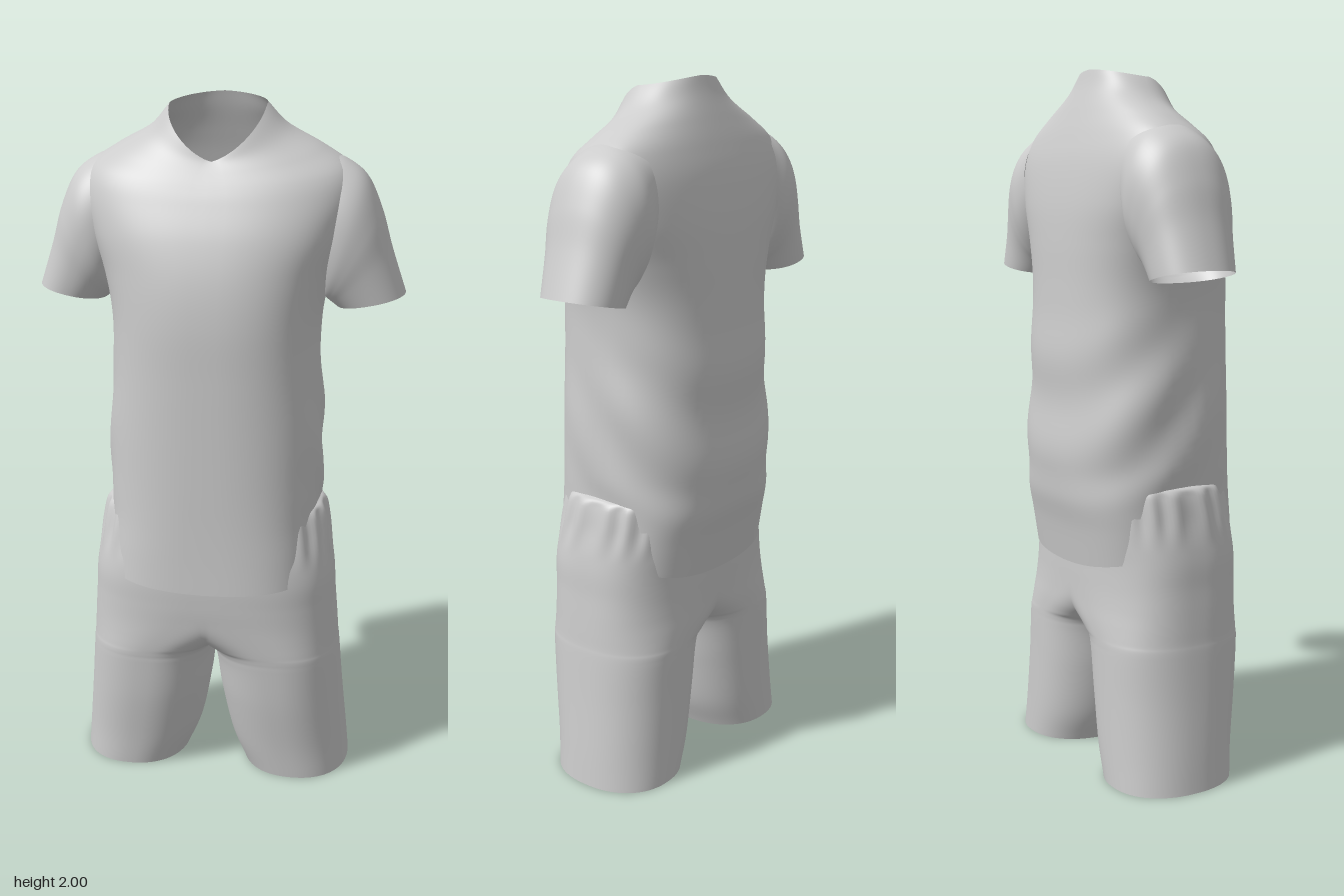
import * as THREE from 'three';
import { mergeGeometries, mergeVertices } from 'three/addons/utils/BufferGeometryUtils.js';

const SEG = 80;   // points around each cross-section
const SUB = 8;    // smooth steps between two cross-sections

// Signed power, gives rounded-box (superellipse) cross-sections
const sp = (v, e) => Math.sign(v) * Math.pow(Math.abs(v), e);
const smooth = THREE.MathUtils.smoothstep;

// Smooth skin: the row values are eased from row to row, shape(row, t) gives the point at t = 0..1
function loft(rows, shape, adjust) {
  const steps = (rows.length - 1) * SUB;
  const ease = new THREE.CubicInterpolant(rows.map((r, i) => i), rows.flat(), rows[0].length);
  const pos = [], index = [];
  for (let i = 0; i <= steps; i++) {
    const row = Array.from(ease.evaluate(i / SUB));
    for (let j = 0; j <= SEG; j++) {
      const p = shape(row, j / SEG);
      if (adjust) adjust(p, j / SEG);
      pos.push(p.x, p.y, p.z);
    }
  }
  const n = SEG + 1;
  for (let i = 0; i < steps; i++) {
    for (let j = 0; j < SEG; j++) {
      const a = i * n + j, b = a + n;
      index.push(a, b, a + 1, b, b + 1, a + 1);
    }
  }
  const g = new THREE.BufferGeometry();
  g.setAttribute('position', new THREE.Float32BufferAttribute(pos, 3));
  g.setIndex(index);
  return g;
}

function mirrored(g) {
  const m = g.clone().scale(-1, 1, 1);
  m.setIndex(Array.from(g.index.array).reverse());
  return m;
}

function finish(g) {
  const out = mergeVertices(g, 1e-4);
  out.computeVertexNormals();
  return out;
}

// Shirt body rows, hem to neck: halfWidth, zFront, zBack, zSide, yFront, ySide, yBack, squareness
const BODY = [
  [0.302, 0.26, -0.213, 0.02, 0.625, 0.66, 0.61, 3.1],
  [0.302, 0.258, -0.231, 0.01, 0.72, 0.73, 0.72, 3.0],
  [0.303, 0.257, -0.252, 0, 0.82, 0.82, 0.82, 2.8],
  [0.308, 0.257, -0.254, 0, 0.92, 0.92, 0.92, 2.6],
  [0.308, 0.257, -0.252, 0, 1.08, 1.08, 1.08, 2.5],
  [0.296, 0.257, -0.246, 0, 1.25, 1.25, 1.25, 2.5],
  [0.297, 0.256, -0.238, -0.01, 1.4, 1.4, 1.4, 2.5],
  [0.322, 0.243, -0.234, -0.03, 1.52, 1.52, 1.52, 2.5],
  [0.36, 0.215, -0.226, -0.045, 1.63, 1.63, 1.63, 2.6],
  [0.384, 0.178, -0.208, -0.055, 1.72, 1.73, 1.74, 2.6],
  [0.365, 0.155, -0.185, -0.055, 1.765, 1.808, 1.82, 2.5],
  [0.29, 0.133, -0.16, -0.045, 1.8, 1.862, 1.89, 2.4],
  [0.195, 0.118, -0.135, -0.02, 1.82, 1.912, 1.955, 2.4],
  [0.135, 0.11, -0.12, -0.005, 1.83, 1.975, 2.0, 2.5],
];
function bodyShape([w, zf, zb, zc, yf, ys, yb, n], t) {
  const a = (t % 1) * Math.PI * 2, c = Math.cos(a), s = Math.sin(a), e = 2 / n;
  const front = s > 0;
  const k = (Math.abs(s) + 1 - Math.abs(c)) / 2;
  return new THREE.Vector3(
    w * sp(c, e),
    ys + ((front ? yf : yb) - ys) * k,
    zc + (front ? zf - zc : zc - zb) * sp(s, e));
}

// Draped folds, strongest at the back and fading out towards the chest
function folds(p) {
  const r = Math.hypot(p.x, p.z);
  const zone = smooth(p.y, 0.78, 0.92) * (1 - smooth(p.y, 1.1, 1.4));
  const fade = 1 - smooth(p.z, -0.05, 0.2);
  const k = 1 + 0.006 * zone * fade * Math.sin((p.y - 1.1 * p.z) * 22) / r;
  p.x *= k;
  p.z *= k;
}

// Sleeve rows, shoulder to cuff: xTop, yTop, xBottom, yBottom, halfDepth, zCentre
const SLEEVE = [
  [0.29, 1.85, 0.265, 1.53, 0.13, -0.055],
  [0.355, 1.826, 0.287, 1.48, 0.145, -0.053],
  [0.412, 1.78, 0.3, 1.45, 0.145, -0.048],
  [0.454, 1.69, 0.312, 1.438, 0.136, -0.047],
  [0.485, 1.585, 0.322, 1.43, 0.125, -0.05],
  [0.527, 1.46, 0.335, 1.42, 0.115, -0.055],
];
function sleeveShape([xt, yt, xb, yb, hz, zc], t) {
  const a = (t % 1) * Math.PI * 2, c = Math.cos(a), e = 2 / 2.2;
  const k = (1 + sp(c, e)) / 2;
  return new THREE.Vector3(xb + (xt - xb) * k, yb + (yt - yb) * k, zc - hz * sp(Math.sin(a), e));
}

// Shorts rows, waist to hem: y, xInner, xOuter, zFront, zBack, squareness (cut at x = 0)
const SHORTS = [
  [0.855, -0.3, 0.3, 0.205, -0.2, 2.5],
  [0.835, -0.322, 0.322, 0.225, -0.21, 2.5],
  [0.75, -0.338, 0.338, 0.238, -0.206, 2.6],
  [0.65, -0.353, 0.353, 0.243, -0.194, 2.8],
  [0.57, -0.32, 0.358, 0.239, -0.193, 2.8],
  [0.51, -0.23, 0.363, 0.233, -0.193, 2.7],
  [0.46, -0.12, 0.367, 0.228, -0.194, 2.55],
  [0.42, -0.04, 0.37, 0.224, -0.194, 2.45],
  [0.385, 0, 0.374, 0.22, -0.194, 2.4],
  [0.25, 0.02, 0.386, 0.206, -0.194, 2.3],
  [0.1, 0.05, 0.401, 0.183, -0.195, 2.25],
  [0.0, 0.09, 0.41, 0.17, -0.195, 2.25],
];
function shortsShape([y, xi, xo, zf, zb, n], t) {
  const cx = Math.max(0, (xo + xi) / 2), rx = xo - cx, e = 2 / n;
  const cut = xi < 0 ? Math.acos(-Math.pow(cx / rx, 1 / e)) : Math.PI;
  const a = cut * (1 - 2 * t);
  const x = cx + rx * sp(Math.cos(a), e);
  return new THREE.Vector3(x, y, (zf + zb) / 2 + (zf - zb) / 2 * sp(Math.sin(a), e));
}

// Gathers under the elastic waist, and a clean centre seam
function gathers(p, t) {
  const zone = smooth(p.y, 0.68, 0.78) * (1 - smooth(p.y, 0.83, 0.855));
  const k = 1 + 0.015 * zone * Math.cos(t * Math.PI * 22);
  p.x = Math.max(0, p.x * k);
  p.z *= k;
}

export function createModel() {
  const model = new THREE.Group();
  model.name = 'shirtAndShorts';
  const cloth = new THREE.MeshStandardMaterial({ color: 0xcccccc, side: THREE.DoubleSide });
  cloth.name = 'lightGreyCloth';

  const add = (name, geometry, parent) => {
    const mesh = new THREE.Mesh(finish(geometry), cloth);
    mesh.name = name;
    parent.add(mesh);
  };

  // Shirt
  const shirt = new THREE.Group();
  shirt.name = 'shirt';
  add('shirtBody', loft(BODY, bodyShape, folds), shirt);
  const sleeve = loft(SLEEVE, sleeveShape);
  add('leftSleeve', sleeve, shirt);
  add('rightSleeve', mirrored(sleeve), shirt);
  model.add(shirt);

  // Shorts, two halves welded along the centre seam
  const half = loft(SHORTS, shortsShape, gathers);
  add('shorts', mergeGeometries([half, mirrored(half)]), model);

  return model;
}
